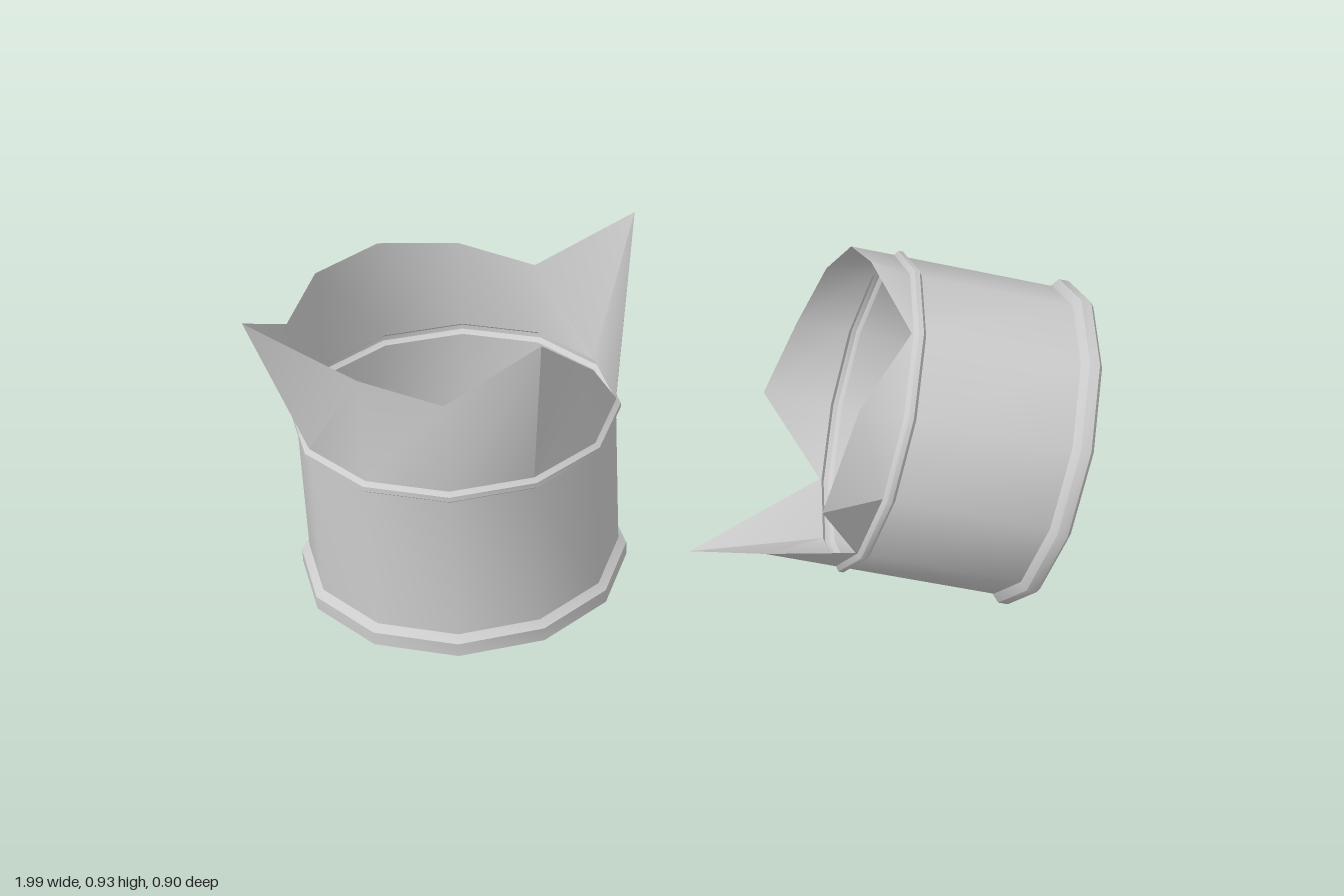
import * as THREE from 'three';
import { toCreasedNormals } from 'three/addons/utils/BufferGeometryUtils.js';

const SIDES = 12;
const RADIUS = 0.39;
const RIB_TOP = 0.46;
const metal = new THREE.MeshStandardMaterial({ color: 0xcccccc, side: THREE.DoubleSide });

function addMesh(group, name, geometry) {
  const mesh = new THREE.Mesh(toCreasedNormals(geometry, 0.65), metal);
  mesh.name = name;
  group.add(mesh);
}

function lathe(points) {
  return new THREE.LatheGeometry(points.map(([r, y]) => new THREE.Vector2(r, y)), SIDES);
}

// Ragged wall above the rib: one height per side, with some tips bent outward
function tornWall(heights, bent) {
  const geometry = new THREE.CylinderGeometry(RADIUS, RADIUS, 1, SIDES, 1, true);
  const pos = geometry.attributes.position;
  for (let i = 0; i < pos.count; i++) {
    const k = i % (SIDES + 1) % SIDES;
    const isTop = i <= SIDES;
    const scale = isTop ? (bent[k] ?? RADIUS) / RADIUS : 1;
    pos.setXYZ(i, pos.getX(i) * scale, isTop ? heights[k] : RIB_TOP, pos.getZ(i) * scale);
  }
  return geometry;
}

// Half a barrel: closed end at y = 0, torn end upward
function barrelHalf(name, endName, endProfile, heights, bent) {
  const group = new THREE.Group();
  group.name = name;
  addMesh(group, endName, lathe(endProfile));
  // Rim chamfer, wall and raised rib
  addMesh(group, 'wall', lathe([
    [0.41, 0.035], [RADIUS, 0.05], [RADIUS, 0.43],
    [0.402, 0.439], [0.402, 0.451], [RADIUS, RIB_TOP],
  ]));
  addMesh(group, 'tornEdge', tornWall(heights, bent));
  return group;
}

export function createModel() {
  const model = new THREE.Group();
  model.name = 'brokenBarrel';

  // Lower half, standing on a flat bottom
  const lower = barrelHalf('lowerHalf', 'bottom',
    [[0, 0], [0.41, 0], [0.41, 0.035]],
    [0.69, 0.84, 0.66, 0.465, 0.84, 0.655, 0.695, 0.725, 0.72, 0.69, 0.84, 0.73],
    { 1: 0.448, 4: 0.515, 10: 0.52 });
  lower.position.set(-0.55, 0.1, -0.045);

  // Upper half, tipped on its side, with a recessed lid
  const upper = barrelHalf('upperHalf', 'lid',
    [[0, 0.03], [0.378, 0.03], [0.382, 0], [0.397, 0], [0.41, 0.01], [0.41, 0.035]],
    [0.616, 0.565, 0.465, 0.56, 0.57, 0.58, 0.6, 0.643, 0.465, 0.784, 0.64, 0.465],
    { 0: 0.495, 3: 0.403, 9: 0.5 });
  upper.position.set(0.9, 0.405, -0.045);
  upper.rotation.z = THREE.MathUtils.degToRad(76.5);

  model.add(lower, upper);
  return model;
}
